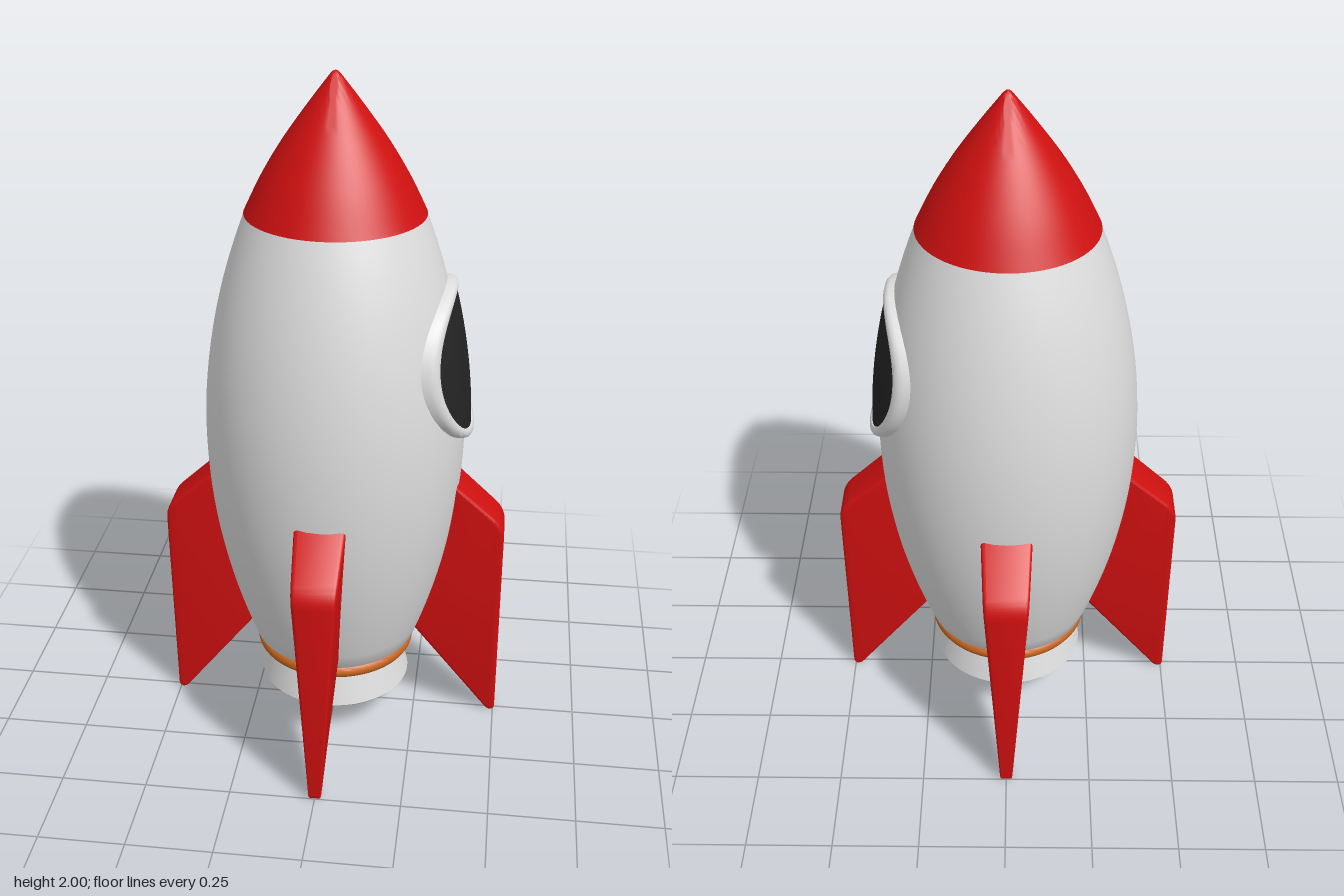
import * as THREE from 'three';
import { toCreasedNormals } from 'three/addons/utils/BufferGeometryUtils.js';

const V = (x, y) => new THREE.Vector2(x, y);

// Hull radius at height y: widest at 0.97, tapering both ways
const hullRadius = (y) => 0.374 - (y > 0.97 ? 0.3 : 0.275) * (y - 0.97) ** 2;

export function createModel() {
  const group = new THREE.Group();
  const material = (name, color) => {
    const m = new THREE.MeshStandardMaterial({ color });
    m.name = name;
    return m;
  };
  const white = material('hull white', 0xdedede);
  const red = material('rocket red', 0xd01010);
  const dark = material('window dark', 0x242424);
  const orange = material('ring orange', 0xc8661e);

  const add = (name, geometry, mat) => {
    const mesh = new THREE.Mesh(geometry, mat);
    mesh.name = name;
    group.add(mesh);
    return mesh;
  };
  const lathe = (points, crease = 0.6, segments = 64) =>
    toCreasedNormals(new THREE.LatheGeometry(points, segments), crease);

  // Hull
  const hull = [V(0, 0.275), V(0.236, 0.275)];
  for (let i = 0; i <= 28; i++) {
    const y = 0.283 + (1.615 - 0.283) * i / 28;
    hull.push(V(hullRadius(y), y));
  }
  add('hull', lathe(hull), white);

  // Nose cone with a slightly curved side and a small round tip
  const side = new THREE.SplineCurve([
    V(0.251, 1.615), V(0.202, 1.715), V(0.142, 1.815), V(0.071, 1.915), V(0.014, 1.99),
  ]).getPoints(20);
  add('noseCone', lathe([V(0, 1.615), ...side, V(0.007, 1.997), V(0, 2)]), red);

  // Engine ring, nozzle and burner plate
  const ring = [V(0.19, 0.232), V(0.218, 0.232)];
  for (let i = 0; i <= 8; i++) {
    const a = -Math.PI / 2 + Math.PI * i / 8;
    ring.push(V(0.218 + 0.021 * Math.cos(a), 0.254 + 0.022 * Math.sin(a)));
  }
  add('engineRing', lathe(ring), orange);
  add('nozzle', lathe([
    V(0.18, 0.25), V(0.21, 0.13), V(0.213, 0.124), V(0.222, 0.124), V(0.227, 0.13), V(0.198, 0.245),
  ]), white);
  const plate = add('burnerPlate', new THREE.CircleGeometry(0.187, 64), orange);
  plate.rotation.x = Math.PI / 2;
  plate.position.y = 0.228;

  // Wraps a round profile (radius, height above hull) onto the +x side of the hull
  const wrapOnHull = (points) => {
    const g = new THREE.LatheGeometry(points, 72);
    const p = g.attributes.position;
    for (let i = 0; i < p.count; i++) {
      const z = p.getX(i);
      const y = 1.205 + 0.945 * p.getZ(i);
      const r = hullRadius(y) + p.getY(i);
      p.setXYZ(i, Math.sqrt(r * r - z * z), y, z);
    }
    return toCreasedNormals(g, 0.7);
  };
  add('windowFrame', wrapOnHull([
    V(0.241, -0.02), V(0.241, 0.014), V(0.238, 0.022), V(0.231, 0.026),
    V(0.222, 0.026), V(0.214, 0.022), V(0.21, 0.012), V(0.21, -0.01),
  ]), white);
  const glass = [];
  for (let i = 0; i <= 10; i++) glass.push(V(0.212 * (1 - i / 10), 0.018));
  add('windowGlass', wrapOnHull(glass), dark);

  // Four fins: bevelled outline, thinning towards the foot
  const outline = new THREE.Shape();
  outline.moveTo(0.2, 0.366);
  outline.lineTo(0.474, 0.012);
  outline.quadraticCurveTo(0.484, 0, 0.494, 0.001);
  outline.quadraticCurveTo(0.505, 0.004, 0.505, 0.02);
  outline.lineTo(0.505, 0.65);
  outline.quadraticCurveTo(0.505, 0.69, 0.475, 0.717);
  outline.lineTo(0.3, 0.875);
  outline.closePath();
  const half = 0.073, bevel = 0.013;
  const fin = new THREE.ExtrudeGeometry(outline, {
    depth: 2 * (half - bevel), bevelThickness: bevel, bevelSize: bevel,
    bevelOffset: -bevel, bevelSegments: 4, curveSegments: 8,
  });
  fin.translate(0, 0, bevel - half);
  const p = fin.attributes.position;
  for (let i = 0; i < p.count; i++) {
    p.setZ(i, p.getZ(i) * (0.018 + 0.067 * p.getY(i)) / half);
  }
  const finGeometry = toCreasedNormals(fin, 0.6);
  ['leftFin', 'backFin', 'rightFin', 'frontFin'].forEach((name, i) => {
    add(name, finGeometry, red).rotation.y = i * Math.PI / 2;
  });

  return group;
}
